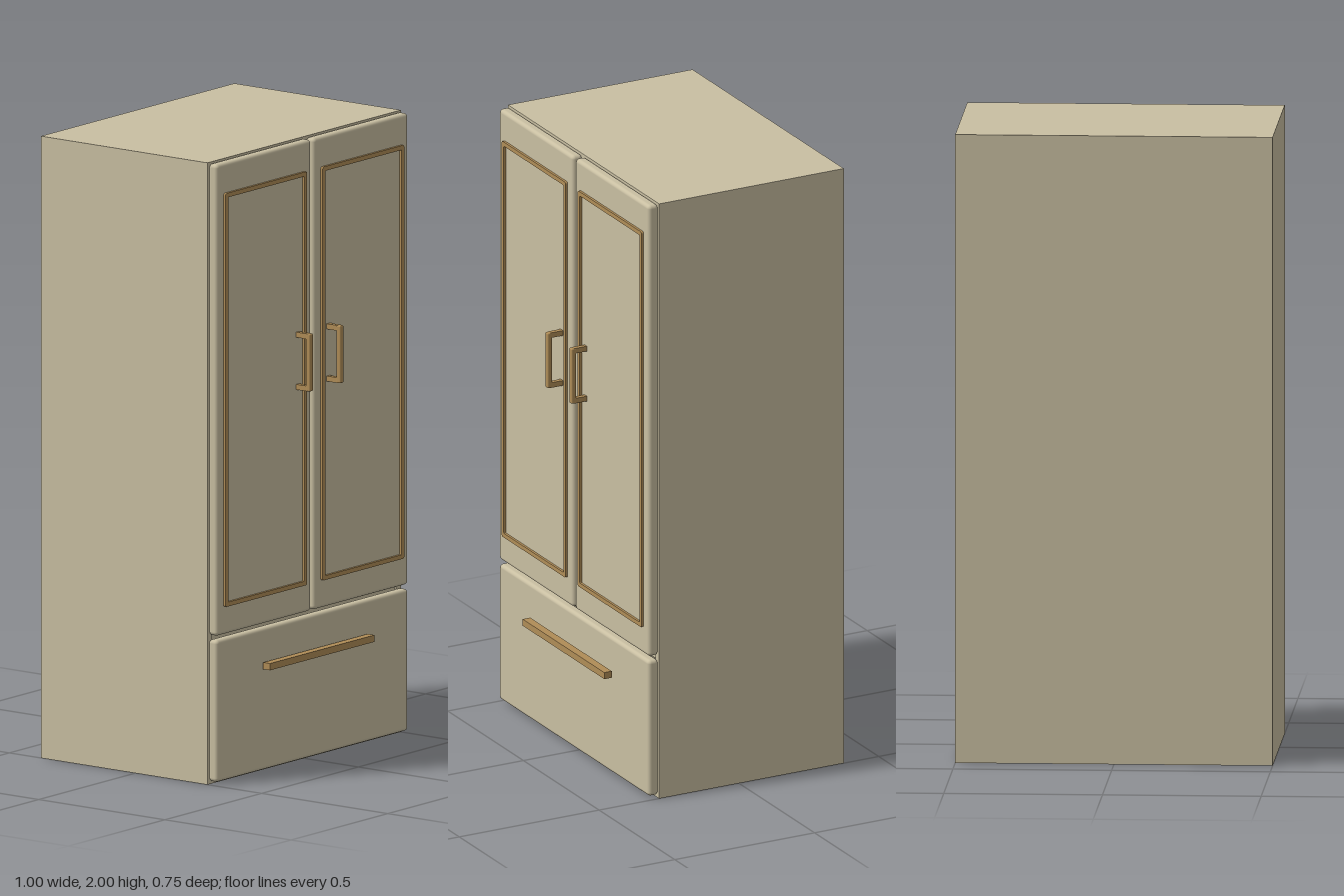
import * as THREE from 'three';
import { RoundedBoxGeometry } from 'three/addons/geometries/RoundedBoxGeometry.js';

const cream = new THREE.MeshStandardMaterial({ color: 0xc9bfa2 });
cream.name = 'cream';
const brass = new THREE.MeshStandardMaterial({ color: 0xb08d57 });
brass.name = 'brass';

// Mesh filling the space between two corners; a radius rounds its edges
function block(name, min, max, material, radius = 0) {
  const size = max.map((v, i) => v - min[i]);
  const geometry = radius
    ? new RoundedBoxGeometry(...size, 3, radius)
    : new THREE.BoxGeometry(...size);
  const mesh = new THREE.Mesh(geometry, material);
  mesh.name = name;
  mesh.position.set(...min.map((v, i) => (v + max[i]) / 2));
  return mesh;
}

// Rectangle outline with rounded corners
function roundedRect(path, x0, y0, x1, y1, r) {
  path.moveTo(x0 + r, y0);
  path.lineTo(x1 - r, y0);
  path.quadraticCurveTo(x1, y0, x1, y0 + r);
  path.lineTo(x1, y1 - r);
  path.quadraticCurveTo(x1, y1, x1 - r, y1);
  path.lineTo(x0 + r, y1);
  path.quadraticCurveTo(x0, y1, x0, y1 - r);
  path.lineTo(x0, y0 + r);
  path.quadraticCurveTo(x0, y0, x0 + r, y0);
  return path;
}

function doorTrim(x0, x1) {
  const shape = roundedRect(new THREE.Shape(), x0, 0.57, x1, 1.9, 0.008);
  const w = 0.014;
  shape.holes.push(roundedRect(new THREE.Path(), x0 + w, 0.57 + w, x1 - w, 1.9 - w, 0.004));
  const geometry = new THREE.ExtrudeGeometry(shape, { depth: 0.01, bevelEnabled: false });
  const mesh = new THREE.Mesh(geometry, brass);
  mesh.name = 'doorTrim';
  mesh.position.z = 0.318;
  return mesh;
}

export function createModel() {
  const model = new THREE.Group();
  model.name = 'refrigerator';

  // Hollow cabinet with a divider and shelves behind the doors
  const cabinet = new THREE.Group();
  cabinet.name = 'cabinet';
  cabinet.add(
    block('leftWall', [0.475, 0, -0.375], [0.5, 2, 0.285], cream),
    block('rightWall', [-0.5, 0, -0.375], [-0.475, 2, 0.285], cream),
    block('backWall', [-0.475, 0, -0.375], [0.475, 2, -0.35], cream),
    block('topWall', [-0.475, 1.975, -0.35], [0.475, 2, 0.285], cream),
    block('floor', [-0.475, 0, -0.35], [0.475, 0.025, 0.285], cream),
    block('divider', [-0.475, 0.46, -0.35], [0.475, 0.485, 0.28], cream),
  );
  for (const y of [0.83, 1.205, 1.58]) {
    cabinet.add(block('shelf', [-0.475, y - 0.008, -0.35], [0.475, y + 0.008, 0.24], cream));
  }
  model.add(cabinet);

  // Pair of doors with trim and bracket handles
  for (const side of [1, -1]) {
    const door = new THREE.Group();
    door.name = side > 0 ? 'leftDoor' : 'rightDoor';
    const span = (a, b) => (side > 0 ? [a, b] : [-b, -a]);
    const [d0, d1] = span(0.007, 0.495);
    door.add(block('doorPanel', [d0, 0.48, 0.284], [d1, 1.996, 0.32], cream, 0.012));
    door.add(doorTrim(...span(0.04, 0.462)));

    const [h0, h1] = span(0.07, 0.088);
    door.add(block('handleGrip', [h0, 1.205, 0.358], [h1, 1.39, 0.375], brass, 0.004));
    for (const y of [1.205, 1.373]) {
      door.add(block('handleMount', [h0 + 0.001, y, 0.318], [h1 - 0.001, y + 0.017, 0.365], brass));
    }
    model.add(door);
  }

  // Freezer drawer and its long pull
  model.add(
    block('drawerFront', [-0.495, 0.01, 0.284], [0.495, 0.466, 0.32], cream, 0.012),
    block('drawerPull', [-0.27, 0.338, 0.33], [0.27, 0.36, 0.357], brass),
  );
  return model;
}
